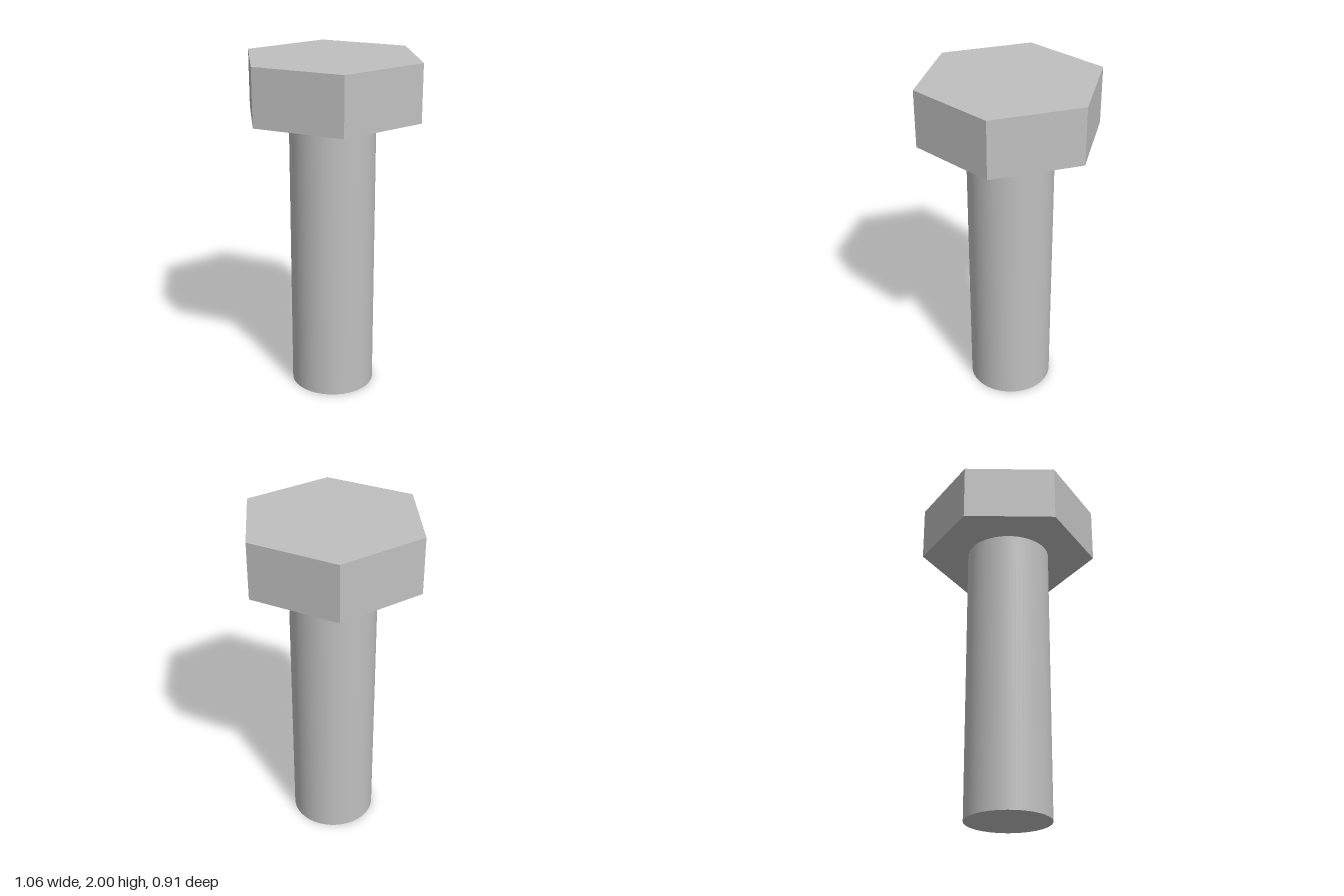
import * as THREE from 'three';

const HEIGHT = 2;
const HEAD_BASE = 1.67;
const HEAD_RADIUS = 0.528; // centre to corner
const SHANK_RADIUS = 0.247;

export function createModel() {
  const steel = new THREE.MeshStandardMaterial({ color: 0xc0c0c0 });
  steel.name = 'steel grey';

  const bolt = new THREE.Group();
  bolt.name = 'hexBolt';

  // Adds an upright prism or cylinder standing between two heights
  const addColumn = (name, radius, bottom, top, sides, turn = 0) => {
    const geometry = new THREE.CylinderGeometry(radius, radius, top - bottom, sides, 1, false, turn);
    const flat = sides < 12;
    const mesh = new THREE.Mesh(flat ? faceted(geometry) : geometry, steel);
    mesh.name = name;
    mesh.position.y = (bottom + top) / 2;
    bolt.add(mesh);
  };

  // Smooth round shank
  addColumn('shank', SHANK_RADIUS, 0, HEAD_BASE, 64);

  // Six-sided head with corners on the x axis
  addColumn('head', HEAD_RADIUS, HEAD_BASE, HEIGHT, 6, Math.PI / 6);

  return bolt;
}

// Gives each face its own flat normal
function faceted(geometry) {
  const flat = geometry.toNonIndexed();
  flat.computeVertexNormals();
  return flat;
}
